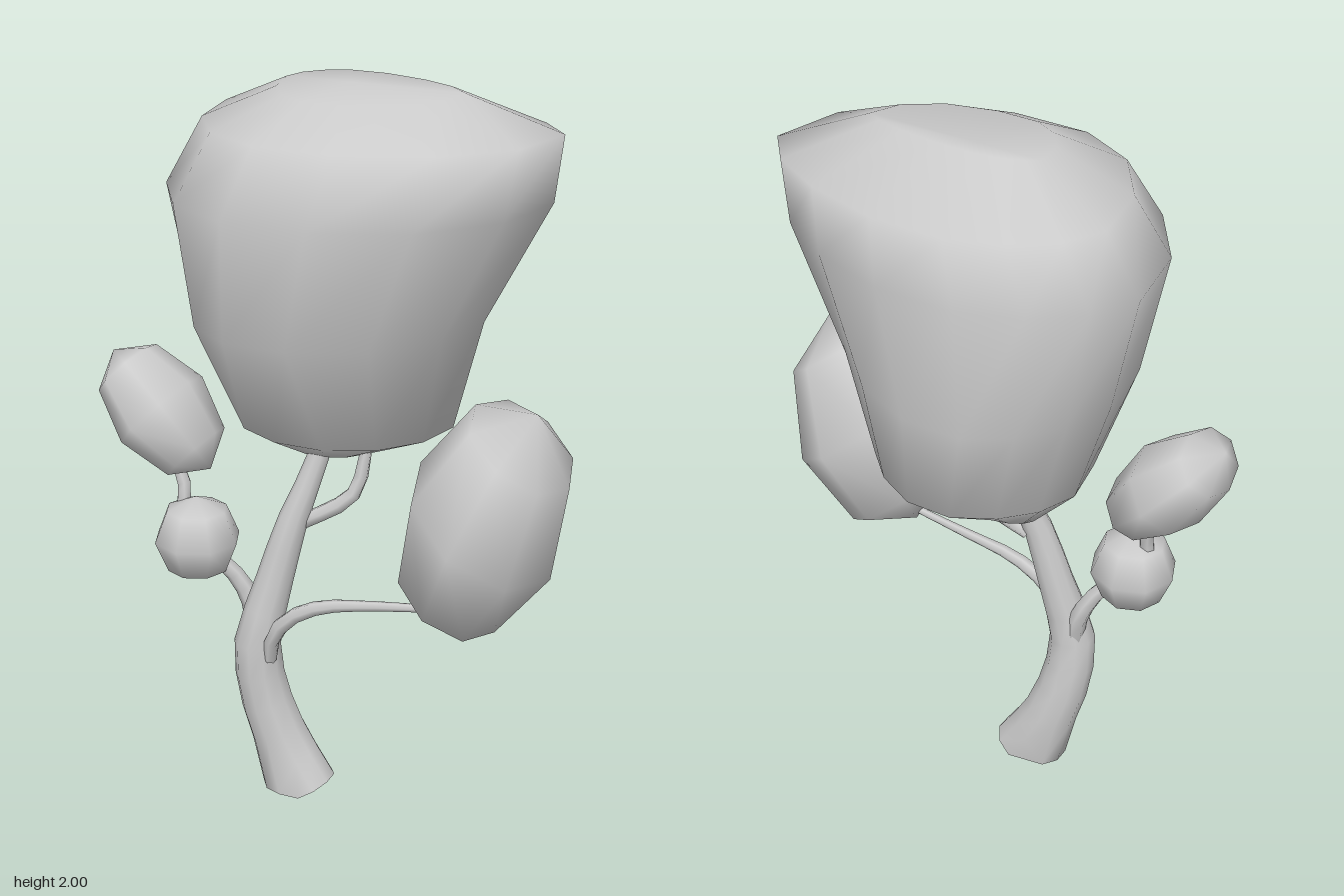
import * as THREE from 'three';
import { mergeVertices } from 'three/addons/utils/BufferGeometryUtils.js';

const material = new THREE.MeshStandardMaterial({ color: 0xcccccc, side: THREE.DoubleSide });

function addMesh(group, name, geometry) {
  const mesh = new THREE.Mesh(geometry, material);
  mesh.name = name;
  group.add(mesh);
}

// Tapered limb: points are [x, y, z, radius]
function limbGeometry(points, segments, sides) {
  const curve = new THREE.CatmullRomCurve3(
    points.map(p => new THREE.Vector3(p[0], p[1], p[2])), false, 'catmullrom', 0.3);
  const tube = new THREE.TubeGeometry(curve, segments, 1, sides, false);
  const pos = tube.attributes.position;
  const v = new THREE.Vector3();
  for (let i = 0; i <= segments; i++) {
    const u = i / segments;
    const centre = curve.getPointAt(u);
    const t = u * (points.length - 1);
    const k = Math.min(Math.floor(t), points.length - 2);
    const r = THREE.MathUtils.lerp(points[k][3], points[k + 1][3], t - k);
    for (let j = 0; j <= sides; j++) {
      const n = i * (sides + 1) + j;
      v.fromBufferAttribute(pos, n).sub(centre).multiplyScalar(r).add(centre);
      pos.setXYZ(n, v.x, v.y, v.z);
    }
  }
  // Close the seam so the shading runs smoothly around
  tube.deleteAttribute('uv');
  tube.deleteAttribute('normal');
  const geo = mergeVertices(tube);
  geo.computeVertexNormals();
  return geo;
}

// Closed loft of lopsided ovals: [y, xMin, xMax, zMin, zMax, centreX, centreZ, rise towards back]
function crownGeometry(rings, sides) {
  const positions = [], index = [];
  for (const [y, x0, x1, z0, z1, cx, cz, tilt] of rings) {
    for (let j = 0; j < sides; j++) {
      const a = (j / sides) * Math.PI * 2;
      // Fuller front corners, leaner back corners
      const fullness = 1 + (Math.sin(a) > 0 ? 0.02 : -0.075) * Math.abs(Math.sin(2 * a));
      const c = Math.cos(a) * fullness, s = Math.sin(a) * 1.025 * fullness;
      positions.push(cx + c * (c > 0 ? x1 - cx : cx - x0), y - tilt * s, cz + s * (s > 0 ? z1 - cz : cz - z0));
    }
  }
  for (let i = 0; i < rings.length - 1; i++) {
    for (let j = 0; j < sides; j++) {
      const k = (j + 1) % sides;
      const a = i * sides + j, b = i * sides + k, c = a + sides, d = b + sides;
      index.push(a, c, b, b, c, d);
    }
  }
  // End caps fan from a centre point
  const bottom = positions.length / 3, top = bottom + 1, last = (rings.length - 1) * sides;
  const first = rings[0], end = rings[rings.length - 1];
  positions.push(first[5], first[0], first[6], end[5], end[0], end[6]);
  for (let j = 0; j < sides; j++) {
    const k = (j + 1) % sides;
    index.push(bottom, j, k, top, last + k, last + j);
  }
  const geo = new THREE.BufferGeometry();
  geo.setAttribute('position', new THREE.Float32BufferAttribute(positions, 3));
  geo.setIndex(index);
  geo.computeVertexNormals();
  return geo;
}

export function createModel() {
  const tree = new THREE.Group();
  tree.name = 'tree';

  // Bent trunk, open at the foot
  const trunk = limbGeometry([
    [-0.08, 0, 0.095, 0.08], [-0.165, 0.14, 0.1, 0.078], [-0.215, 0.3, 0.115, 0.071],
    [-0.222, 0.45, 0.125, 0.064], [-0.18, 0.63, 0.1, 0.052], [-0.135, 0.8, 0.08, 0.044],
    [-0.08, 0.97, 0.04, 0.032], [-0.06, 1.08, 0.02, 0.027],
  ], 12, 10);
  // Level the foot
  const foot = trunk.attributes.position;
  for (let j = 0; j < 10; j++) foot.setXYZ(j, -0.08 + (foot.getX(j) + 0.08) * 1.16, 0, foot.getZ(j));
  trunk.computeVertexNormals();
  addMesh(tree, 'trunk', trunk);

  // Branches
  addMesh(tree, 'leftBranch', limbGeometry([
    [-0.17, 0.41, 0.155, 0.018], [-0.15, 0.5, 0.17, 0.024], [-0.09, 0.565, 0.165, 0.02],
    [0, 0.61, 0.16, 0.015], [0.15, 0.637, 0.15, 0.012], [0.34, 0.665, 0.145, 0.01],
  ], 10, 6));
  addMesh(tree, 'rightBranch', limbGeometry([
    [-0.24, 0.44, 0.1, 0.025], [-0.26, 0.55, 0.09, 0.028], [-0.3, 0.63, 0.11, 0.024],
    [-0.36, 0.7, 0.14, 0.02],
  ], 6, 6));
  addMesh(tree, 'rightTwig', limbGeometry([
    [-0.44, 0.8, 0.14, 0.02], [-0.435, 0.87, 0.13, 0.021], [-0.46, 0.94, 0.125, 0.017],
    [-0.48, 1.0, 0.12, 0.015],
  ], 5, 6));
  addMesh(tree, 'upperBranch', limbGeometry([
    [-0.11, 0.8, 0.06, 0.022], [-0.015, 0.855, 0.035, 0.023], [0.035, 0.91, 0.02, 0.02],
    [0.055, 1.05, 0, 0.015],
  ], 6, 6));

  // Main crown, wide at the top and narrowing down to the trunk
  addMesh(tree, 'crown', crownGeometry([
    [0.975, -0.22, 0.03, -0.15, 0.02, -0.09, -0.1, -0.005],
    [1.085, -0.33, 0.265, -0.325, 0.235, -0.04, -0.08, -0.01],
    [1.39, -0.425, 0.345, -0.41, 0.35, -0.12, -0.08, 0],
    [1.72, -0.5, 0.515, -0.385, 0.405, -0.06, -0.1, 0],
    [1.89, -0.415, 0.53, -0.36, 0.31, -0.03, -0.12, 0],
    [1.985, -0.2, 0.29, -0.13, 0.15, -0.02, -0.05, 0.014],
  ], 14));

  // Side foliage: name, centre, short axis, long axis, depth
  const clumps = [
    ['leftFoliage', [0.447, 0.94, 0.145], [0.18, -0.13], [0.132, 0.31], 0.265],
    ['rightFoliage', [-0.51, 1.078, 0.11], [0.085, 0.09], [-0.145, 0.15], 0.17],
    ['smallFoliage', [-0.39, 0.735, 0.15], [0.12, 0], [0, 0.123], 0.12],
  ];
  for (const [name, centre, short, long, depth] of clumps) {
    const basis = new THREE.Matrix4().makeBasis(
      new THREE.Vector3(...short, 0), new THREE.Vector3(...long, 0), new THREE.Vector3(0, 0, depth));
    addMesh(tree, name, new THREE.SphereGeometry(1, 8, 4).applyMatrix4(basis.setPosition(...centre)));
  }
  return tree;
}
